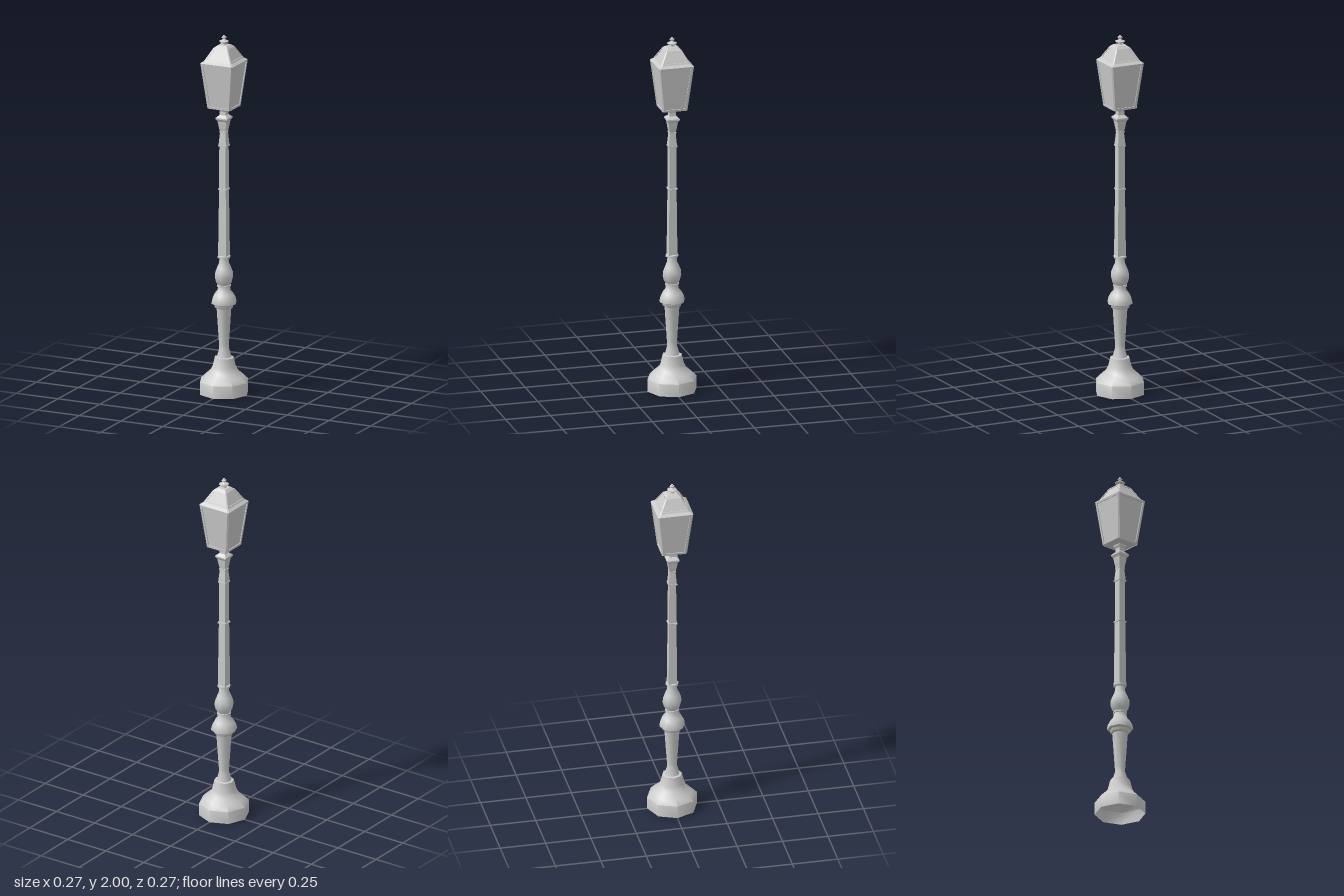
import * as THREE from 'three';
import { toCreasedNormals } from 'three/addons/utils/BufferGeometryUtils.js';

const smooth = new THREE.MeshStandardMaterial({ color: 0xcccccc, side: THREE.DoubleSide });
const flat = new THREE.MeshStandardMaterial({ color: 0xcccccc, flatShading: true, side: THREE.DoubleSide });

function add(parent, name, geometry, material) {
  const mesh = new THREE.Mesh(geometry, material);
  mesh.name = name;
  parent.add(mesh);
  return mesh;
}

// Eight-sided turned part from [radius, y] pairs, bottom to top
function turned(parent, name, profile) {
  const points = profile.map(([r, y]) => new THREE.Vector2(r, y));
  return add(parent, name, toCreasedNormals(new THREE.LatheGeometry(points, 8), 0.9), smooth);
}

// Square part from [half width, y] pairs, sides facing the axes
function square(parent, name, profile) {
  const points = profile.map(([h, y]) => new THREE.Vector2(h * Math.SQRT2, y));
  const geometry = new THREE.LatheGeometry(points, 4).rotateY(Math.PI / 4);
  return add(parent, name, geometry, flat);
}

// One sloping side with a raised border, a recessed pane and a chamfered corner
function framedSide(bottom, top, border, inset, chamfer) {
  const [hb, yb] = bottom, [ht, yt] = top;
  const point = (u, t, depth) => {
    const h = hb + (ht - hb) * t;
    return [u * (h - chamfer), yb + (yt - yb) * t, h - depth];
  };
  const tb = border / Math.hypot(hb - ht, yt - yb);
  const loop = (b, t, depth) => {
    const ub = 1 - b / hb, ut = 1 - b / ht;
    return [point(-ub, t, depth), point(ub, t, depth), point(ut, 1 - t, depth), point(-ut, 1 - t, depth)];
  };
  const loops = [loop(0, 0, 0), loop(border, tb, 0), loop(border, tb, inset)];
  const positions = [];
  const quad = (a, b, c, d) => positions.push(...a, ...b, ...c, ...a, ...c, ...d);
  for (let k = 0; k < 2; k++) {
    for (let i = 0; i < 4; i++) {
      const j = (i + 1) % 4;
      quad(loops[k][i], loops[k][j], loops[k + 1][j], loops[k + 1][i]);
    }
  }
  quad(...loops[2]);
  quad([hb - chamfer, yb, hb], [hb, yb, hb - chamfer], [ht, yt, ht - chamfer], [ht - chamfer, yt, ht]);
  const geometry = new THREE.BufferGeometry();
  geometry.setAttribute('position', new THREE.Float32BufferAttribute(positions, 3));
  geometry.computeVertexNormals();
  return geometry;
}

function fourSides(parent, name, ...args) {
  const geometry = framedSide(...args);
  for (let i = 0; i < 4; i++) add(parent, name, geometry, flat).rotation.y = i * Math.PI / 2;
}

export function createModel() {
  const model = new THREE.Group();
  model.name = 'streetLamp';

  // Hollow foot
  turned(model, 'foot', [
    [0.137, 0], [0.137, 0.07], [0.108, 0.098], [0.078, 0.125], [0.066, 0.15], [0.054, 0.2], [0.038, 0.203],
  ]);

  // Turned pedestal with collar and bulb
  turned(model, 'pedestal', [
    [0.042, 0.195], [0.038, 0.215], [0.028, 0.25], [0.028, 0.27], [0.042, 0.475],
    [0.052, 0.48], [0.055, 0.495], [0.07, 0.502], [0.07, 0.512], [0.066, 0.53], [0.054, 0.553],
    [0.038, 0.572], [0.034, 0.595],
  ]);
  turned(model, 'waistRing', [[0.032, 0.593], [0.039, 0.595], [0.039, 0.605], [0.032, 0.607]]);
  turned(model, 'bulb', [
    [0.034, 0.605], [0.045, 0.622], [0.052, 0.65], [0.05, 0.675], [0.04, 0.7], [0.029, 0.725], [0.025, 0.757],
  ]);
  turned(model, 'shaftRing', [[0.025, 0.754], [0.036, 0.756], [0.036, 0.766], [0.022, 0.77]]);

  // Square shaft with thin bands
  square(model, 'shaft', [[0.024, 0.765], [0.02, 1.135], [0.019, 1.385]]);
  for (const [y, h] of [[1.14, 0.025], [1.383, 0.024], [1.459, 0.019]]) {
    square(model, 'band', [[0.015, y - 0.005], [h, y - 0.004], [h, y + 0.004], [0.015, y + 0.005]]);
  }
  square(model, 'neck', [[0.022, 1.385], [0.021, 1.4], [0.016, 1.458]]);
  square(model, 'capital', [
    [0.016, 1.46], [0.02, 1.48], [0.026, 1.52], [0.034, 1.532], [0.034, 1.54],
    [0.018, 1.555], [0.017, 1.575], [0.024, 1.588], [0.024, 1.6],
  ]);

  // Lantern body: floor, framed panes and eave
  const lantern = new THREE.Group();
  lantern.name = 'lantern';
  model.add(lantern);
  square(lantern, 'lanternFloor', [[0, 1.594], [0.06, 1.594], [0.068, 1.6]]);
  fourSides(lantern, 'lanternSide', [0.069, 1.597], [0.098, 1.852], 0.012, 0.005, 0.007);
  fourSides(lantern, 'eave', [0.098, 1.852], [0.082, 1.864], 0.002, 0, 0.007);

  // Roof with framed slopes and a cap
  fourSides(lantern, 'roofSide', [0.082, 1.864], [0.044, 1.932], 0.009, 0.004, 0.005);
  square(lantern, 'roofCap', [[0.0425, 1.931], [0.026, 1.945], [0, 1.945]]);

  // Finial
  turned(lantern, 'finial', [
    [0.014, 1.944], [0.011, 1.954], [0.027, 1.962], [0.027, 1.966], [0.012, 1.97],
    [0.006, 1.977], [0.013, 1.983], [0.013, 1.988], [0.006, 1.992], [0.006, 1.997], [0, 2],
  ]);

  return model;
}
